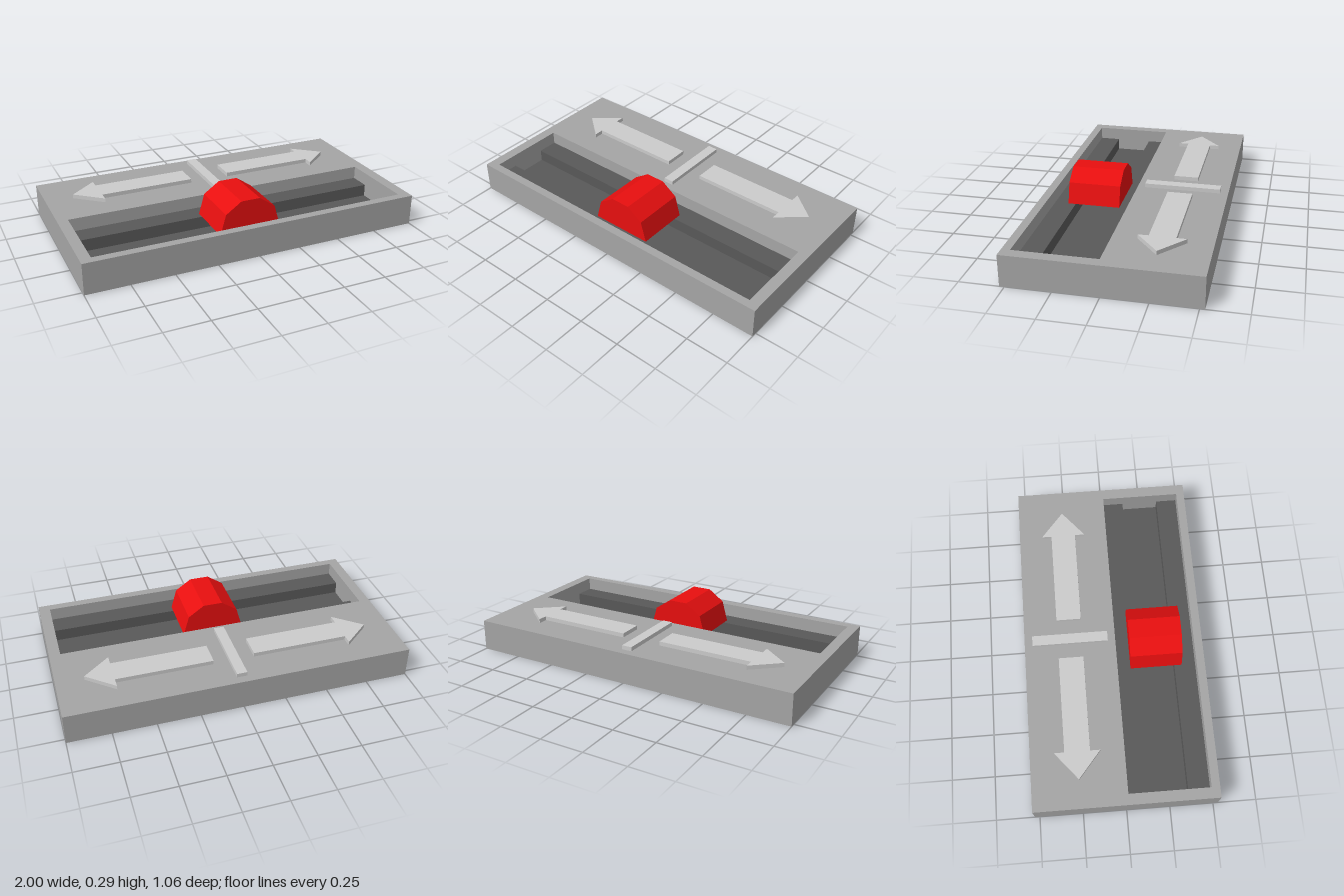
import * as THREE from 'three';

const material = (color) => new THREE.MeshStandardMaterial({ color, flatShading: true });

// Extrudes a plan outline of [x, z] points upward from y0 to y1
function slab(name, points, y0, y1, mat, hole) {
  const toVec = ([x, z]) => new THREE.Vector2(x, -z);
  const shape = new THREE.Shape(points.map(toVec));
  if (hole) shape.holes.push(new THREE.Path(hole.map(toVec)));
  const geometry = new THREE.ExtrudeGeometry(shape, { depth: y1 - y0, bevelEnabled: false });
  geometry.rotateX(-Math.PI / 2).translate(0, y0, 0);
  const mesh = new THREE.Mesh(geometry, mat);
  mesh.name = name;
  return mesh;
}

// Counter-clockwise seen from above, so that hole walls face inward
const rect = (x0, x1, z0, z1) => [[x0, z0], [x0, z1], [x1, z1], [x1, z0]];

export function createModel() {
  const group = new THREE.Group();
  group.name = 'slideSwitch';
  const bodyMat = material(0xa5a5a5);
  const darkMat = material(0x595959);
  const markMat = material(0xcccccc);
  const redMat = material(0xe80f0f);

  const top = 0.182, ledgeY = 0.105, floorY = 0.033, markY = 0.206;
  const x0 = -0.938, x1 = 0.936;

  // Housing with a rectangular opening
  group.add(slab('housing', rect(-1, 1, -0.528, 0.528), 0, top, bodyMat, rect(x0, x1, 0.012, 0.48)));

  // Dark stepped recess: two ledges with a deeper channel between; underside matches the housing
  for (const [name, z0, z1, y] of [
    ['backLedge', 0.012, 0.136, ledgeY],
    ['channelFloor', 0.136, 0.355, floorY],
    ['frontLedge', 0.355, 0.48, ledgeY],
  ]) {
    const geometry = new THREE.BoxGeometry(x1 - x0, y, z1 - z0);
    geometry.translate((x0 + x1) / 2, y / 2, (z0 + z1) / 2);
    const mesh = new THREE.Mesh(geometry, [darkMat, darkMat, darkMat, bodyMat, darkMat, darkMat]);
    mesh.name = name;
    group.add(mesh);
  }

  // Raised arrows and centre mark
  const arrow = [
    [0.12, -0.33], [0.682, -0.33], [0.682, -0.388], [0.839, -0.256],
    [0.682, -0.125], [0.682, -0.184], [0.12, -0.184],
  ];
  for (const [name, s] of [['leftArrow', 1], ['rightArrow', -1]]) {
    group.add(slab(name, arrow.map(([x, z]) => [s * x, z]), top, markY, markMat));
  }
  group.add(slab('centreMark', rect(-0.03, 0.03, -0.48, -0.033), top, markY, markMat));

  // Sliding knob with a faceted profile, resting on the ledges
  const half = [[0.184, ledgeY], [0.15, 0.226], [0.057, 0.291]];
  const profile = [...half, ...half.map(([x, y]) => [-x, y]).reverse()];
  const knobShape = new THREE.Shape(profile.map(([x, y]) => new THREE.Vector2(x, y)));
  const knobGeometry = new THREE.ExtrudeGeometry(knobShape, { depth: 0.308, bevelEnabled: false });
  const knob = new THREE.Mesh(knobGeometry.translate(0, 0, 0.091), redMat);
  knob.name = 'sliderKnob';
  group.add(knob);

  return group;
}
